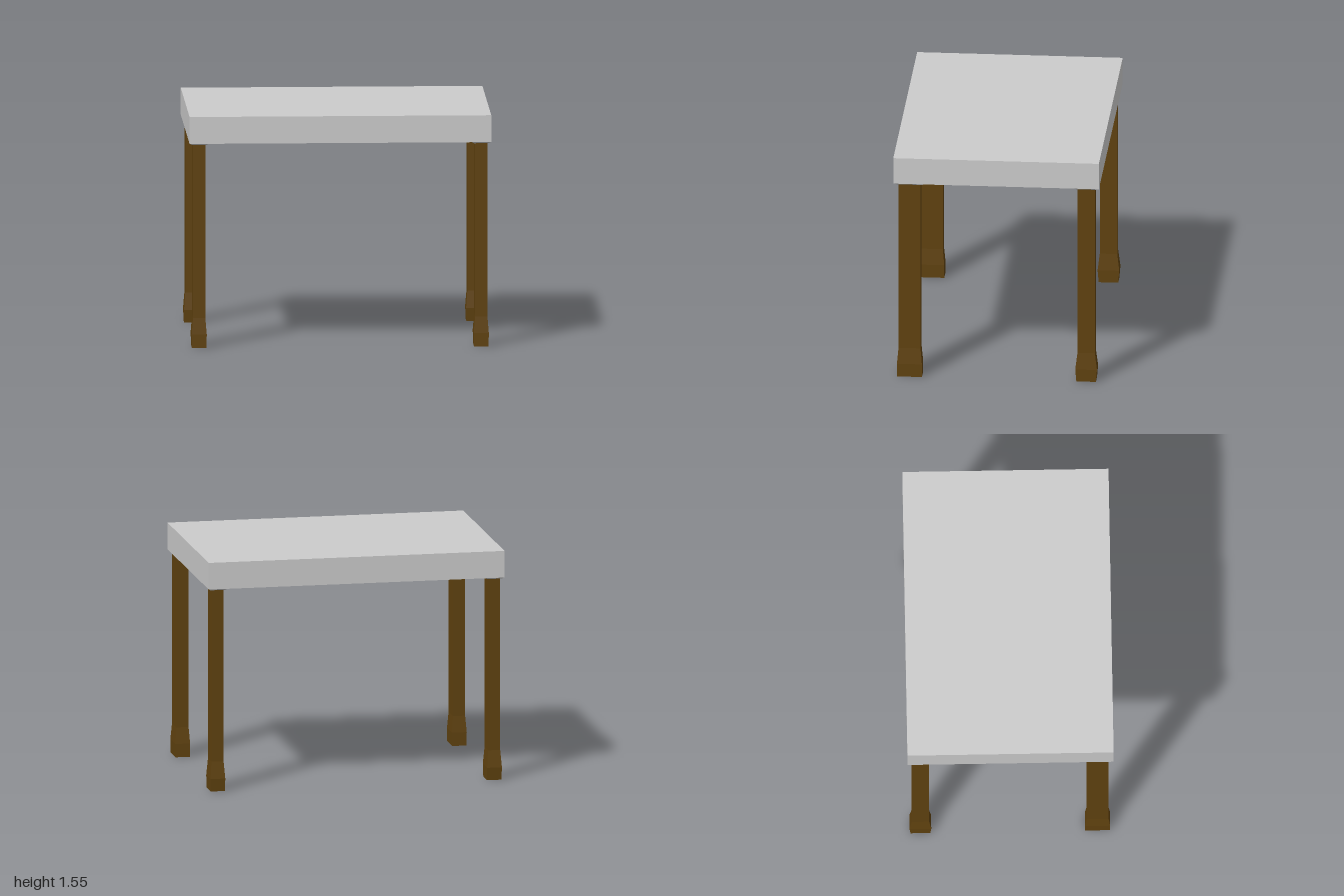
import * as THREE from 'three';

// Joins rectangular sections [y, halfX, halfZ] into a closed, flat-shaded solid.
function loft(sections) {
  const corners = [[1, 1], [1, -1], [-1, -1], [-1, 1]];
  const positions = [];
  const index = [];
  for (const [y, hx, hz] of sections) {
    for (const [sx, sz] of corners) positions.push(sx * hx, y, sz * hz);
  }
  for (let i = 0; i < sections.length - 1; i++) {
    for (let j = 0; j < 4; j++) {
      const a = i * 4 + j;
      const b = i * 4 + (j + 1) % 4;
      index.push(a, b, b + 4, a, b + 4, a + 4);
    }
  }
  const e = (sections.length - 1) * 4;
  index.push(0, 2, 1, 0, 3, 2, e, e + 1, e + 2, e, e + 2, e + 3);
  const geometry = new THREE.BufferGeometry();
  geometry.setAttribute('position', new THREE.Float32BufferAttribute(positions, 3));
  geometry.setIndex(index);
  const flat = geometry.toNonIndexed();
  flat.computeVertexNormals();
  return flat;
}

export function createModel() {
  const group = new THREE.Group();
  const grey = new THREE.MeshStandardMaterial({ color: 0xcccccc, flatShading: true });
  const wood = new THREE.MeshStandardMaterial({ color: 0x60420f, flatShading: true });

  const add = (name, sections, material, x = 0, z = 0) => {
    const mesh = new THREE.Mesh(loft(sections), material);
    mesh.name = name;
    mesh.position.set(x, 0, z);
    group.add(mesh);
  };

  // Table top: recessed underside, inner walls, rim, outer walls, top
  add('tableTop', [
    [1.46, 0.885, 0.54],
    [1.37, 0.885, 0.54],
    [1.37, 1, 0.683],
    [1.55, 1, 0.683],
  ], grey);

  // Legs flare into feet; the front pair is deeper than the back pair
  const frontLeg = [
    [0, 0.048, 0.083],
    [0.09, 0.05, 0.083],
    [0.2, 0.041, 0.073],
    [1.362, 0.041, 0.073],
  ];
  const backLeg = [
    [0, 0.048, 0.065],
    [0.085, 0.05, 0.072],
    [0.2, 0.041, 0.058],
    [1.362, 0.041, 0.058],
  ];

  for (const side of [1, -1]) {
    const label = side > 0 ? 'Left' : 'Right';
    add('front' + label + 'Leg', frontLeg, wood, side * 0.935, 0.577);
    add('back' + label + 'Leg', backLeg, wood, side * 0.935, -0.597);

    // Shallow bevelled pads between the legs and the rim
    add('front' + label + 'Pad', [[1.36, 0.05, 0.084], [1.371, 0.064, 0.104]], grey, side * 0.935, 0.578);
    add('back' + label + 'Pad', [[1.36, 0.05, 0.066], [1.371, 0.064, 0.084]], grey, side * 0.935, -0.598);
  }
  return group;
}
